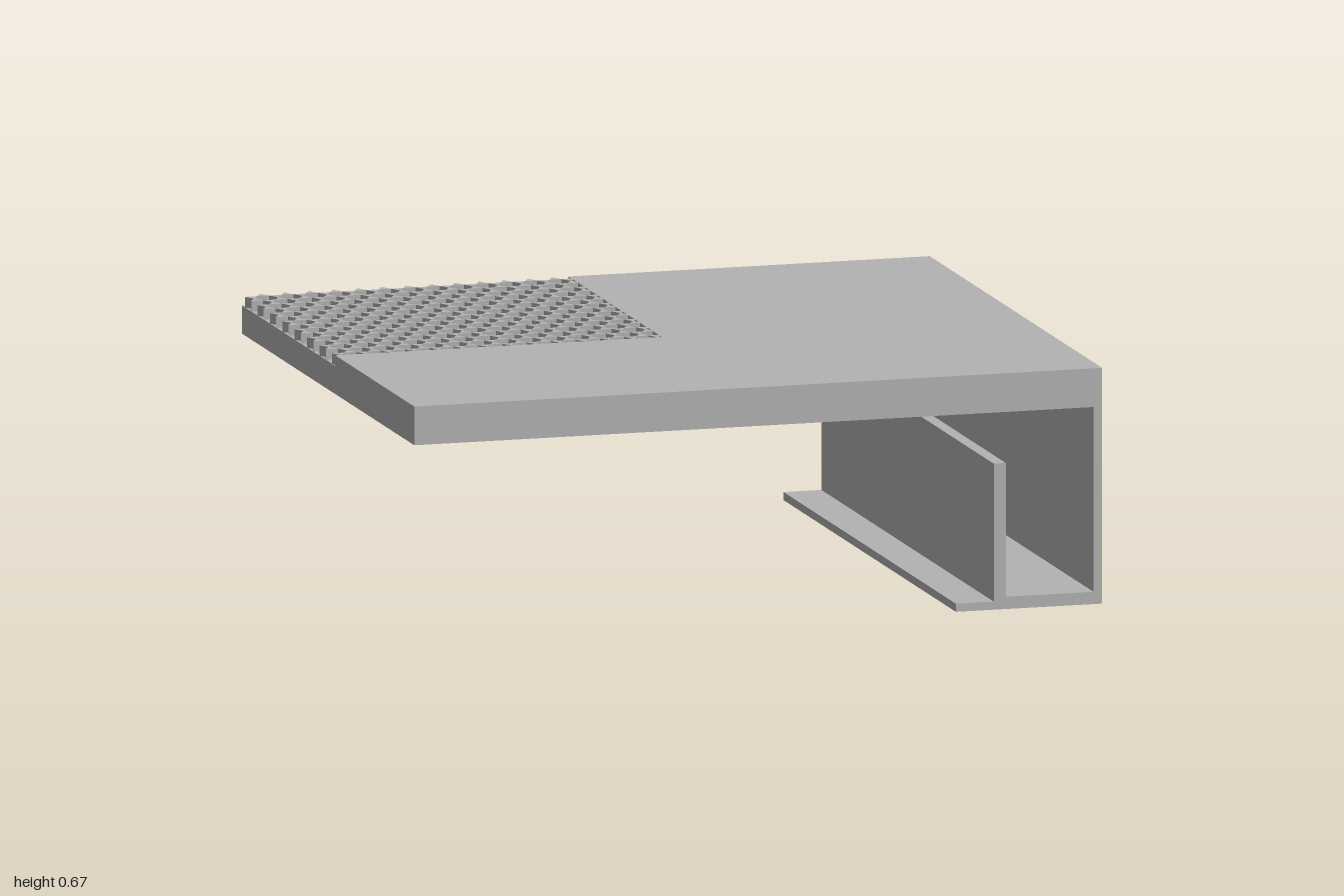
import * as THREE from 'three';
import { mergeGeometries } from 'three/addons/utils/BufferGeometryUtils.js';

const X0 = -1, X1 = 1, Z0 = -0.85, Z1 = 0.85;   // footprint
const TOP = 0.67, PANEL = 0.64, SKIRT = 0.56;   // height levels
const GX = -0.05, GZ = 0.07;                    // inner corner of the grille

// Cuts a convex polygon to the rectangle of the grille
function clip(poly) {
  const sides = [p => p[0] - X0, p => GX - p[0], p => p[1] - Z0, p => GZ - p[1]];
  for (const d of sides) {
    const out = [];
    poly.forEach((a, i) => {
      const b = poly[(i + 1) % poly.length], da = d(a), db = d(b);
      if (da >= 0) out.push(a);
      if (da * db < 0) {
        const t = da / (da - db);
        out.push([a[0] + (b[0] - a[0]) * t, a[1] + (b[1] - a[1]) * t]);
      }
    });
    poly = out;
  }
  return poly;
}

// Extrudes an outline in x, z up from height y0 to y1
function prism(points, y0, y1) {
  const shape = new THREE.Shape(points.map(([x, z]) => new THREE.Vector2(x, -z)));
  const g = new THREE.ExtrudeGeometry(shape, { depth: y1 - y0, bevelEnabled: false });
  return g.rotateX(-Math.PI / 2).translate(0, y0, 0);
}

export function createModel() {
  const model = new THREE.Group();
  model.name = 'ventedShelf';
  const grey = new THREE.MeshStandardMaterial({ color: 0xb2b2b2 });
  grey.name = 'plain grey';

  const add = (name, geometry) => {
    const mesh = new THREE.Mesh(geometry, grey);
    mesh.name = name;
    model.add(mesh);
  };
  const box = (name, x0, x1, y0, y1, z0, z1) => add(name,
    new THREE.BoxGeometry(x1 - x0, y1 - y0, z1 - z0)
      .translate((x0 + x1) / 2, (y0 + y1) / 2, (z0 + z1) / 2));

  // Thin top panel with one corner left open for the grille
  add('topPanel', prism(
    [[X0, Z1], [X1, Z1], [X1, Z0], [GX, Z0], [GX, GZ], [X0, GZ]], PANEL, TOP));

  // Skirt hanging below the panel
  box('frontSkirt', X0, 0.975, SKIRT, PANEL, Z1 - 0.02, Z1);
  box('backSkirt', X0, 0.975, SKIRT, PANEL, Z0, Z0 + 0.02);
  box('sideSkirt', X0, X0 + 0.02, SKIRT, PANEL, Z0 + 0.02, Z1 - 0.02);

  // Side wall, channel floor, upright fin and outer lip
  box('sideWall', 0.975, X1, 0, PANEL, Z0, Z1);
  box('channelFloor', 0.72, 0.975, 0, 0.035, Z0, Z1);
  box('channelFin', 0.685, 0.72, 0, 0.415, Z0, Z1);
  box('channelLip', 0.575, 0.685, 0, 0.023, Z0, Z1);

  // Grille: triangles meeting tip to tip around staggered hexagonal openings
  const row = (GZ - Z0) / 15, pitch = row * 2 / Math.sqrt(3);
  const grow = 1.06;   // slight overlap where the tips meet
  const cells = [];
  for (let k = 0; k <= 15; k++) {
    for (let i = -1; i < 15; i++) {
      const x = GX - 0.012 - (i + (k % 2) / 2) * pitch, z = GZ - k * row;
      for (const s of [-1, 1]) {
        const zc = z + s * row / 3;
        const tri = [[x, z], [x - pitch / 4, z + s * row / 2], [x + pitch / 4, z + s * row / 2]]
          .map(([px, pz]) => [x + (px - x) * grow, zc + (pz - zc) * grow]);
        const cut = clip(tri);
        if (cut.length > 2) cells.push(prism(cut, PANEL, TOP));
      }
    }
  }
  add('hexGrille', mergeGeometries(cells));

  return model;
}
